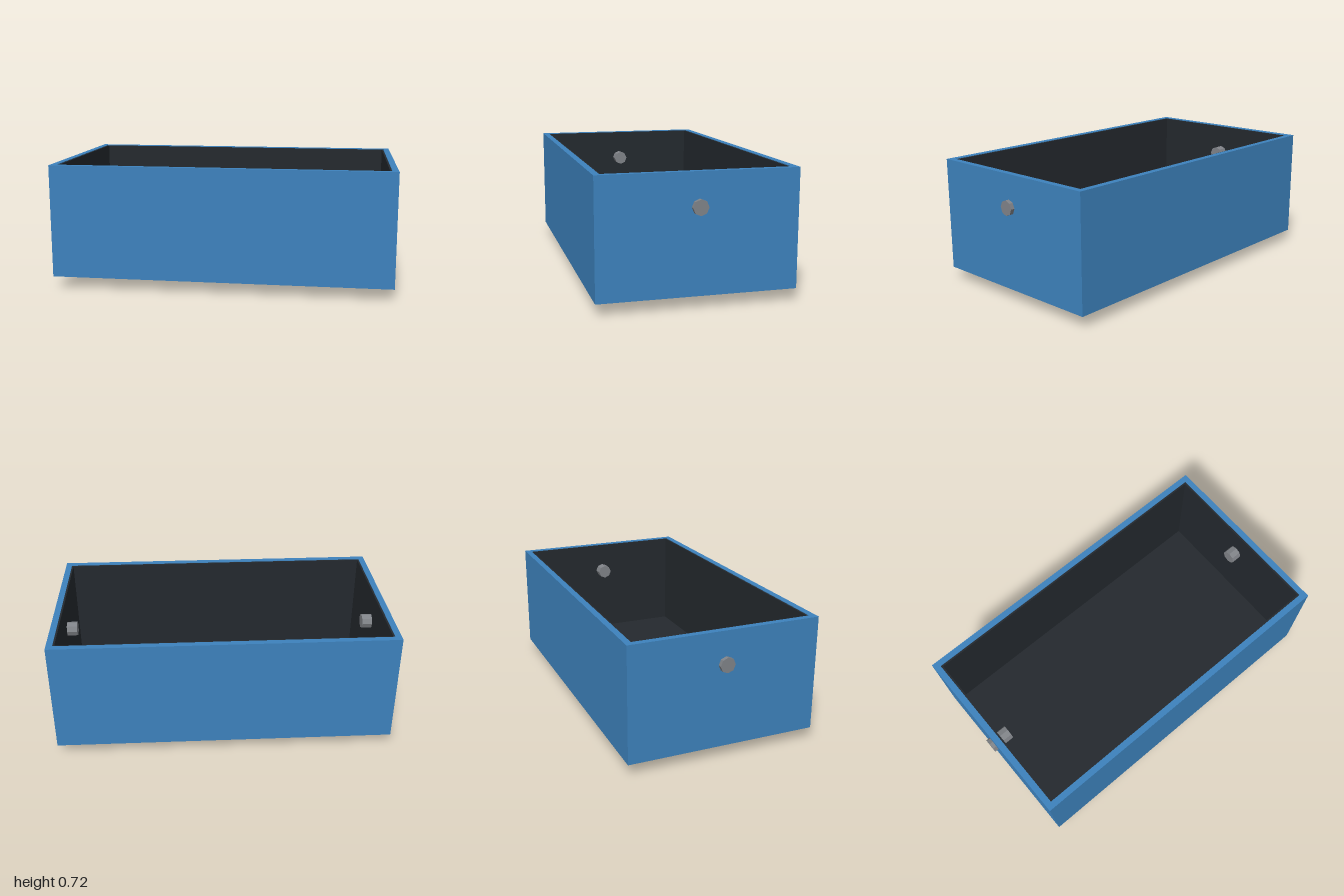
import * as THREE from 'three';

const BLUE = new THREE.MeshStandardMaterial({ color: 0x3d82bd });
const DARK = new THREE.MeshStandardMaterial({ color: 0x24292e });
const GREY = new THREE.MeshStandardMaterial({ color: 0x808388, flatShading: true });

function add(parent, name, geometry, material, x = 0, y = 0, z = 0) {
  const mesh = new THREE.Mesh(geometry, material);
  mesh.name = name;
  mesh.position.set(x, y, z);
  parent.add(mesh);
  return mesh;
}

const rectangle = (Type, hx, hz) => new Type([
  new THREE.Vector2(-hx, -hz), new THREE.Vector2(hx, -hz),
  new THREE.Vector2(hx, hz), new THREE.Vector2(-hx, hz),
]);

// Open-topped tray: a rectangular ring of walls around a floor slab
function tray(name, hx, hz, wall, floor, bottom, top, material) {
  const group = new THREE.Group();
  group.name = name;
  const outline = rectangle(THREE.Shape, hx, hz);
  outline.holes.push(rectangle(THREE.Path, hx - wall, hz - wall));
  const walls = new THREE.ExtrudeGeometry(outline, { depth: top - bottom, bevelEnabled: false });
  walls.rotateX(-Math.PI / 2);
  add(group, name + 'Walls', walls, material, 0, bottom, 0);
  const slab = new THREE.BoxGeometry(2 * (hx - wall), floor, 2 * (hz - wall));
  add(group, name + 'Floor', slab, material, 0, bottom + floor / 2, 0);
  return group;
}

export function createModel() {
  const model = new THREE.Group();
  model.name = 'openBin';

  // Blue outer shell and the dark lining set just below its rim
  model.add(tray('shell', 0.977, 0.543, 0.036, 0.036, 0.068, 0.72, BLUE));
  model.add(tray('lining', 0.941, 0.507, 0.01, 0.01, 0.104, 0.717, DARK));

  for (const side of [1, -1]) {
    // Octagonal pin passing through each end wall
    const pin = new THREE.CylinderGeometry(0.043, 0.043, 0.13, 8);
    pin.rotateZ(Math.PI / 2);
    add(model, side > 0 ? 'leftPin' : 'rightPin', pin, GREY, side * 0.935, 0.537, 0);

    // Long skid under the floor
    add(model, side > 0 ? 'frontSkid' : 'backSkid',
      new THREE.BoxGeometry(1.406, 0.068, 0.076), GREY, 0, 0.034, side * 0.272);
  }
  return model;
}
